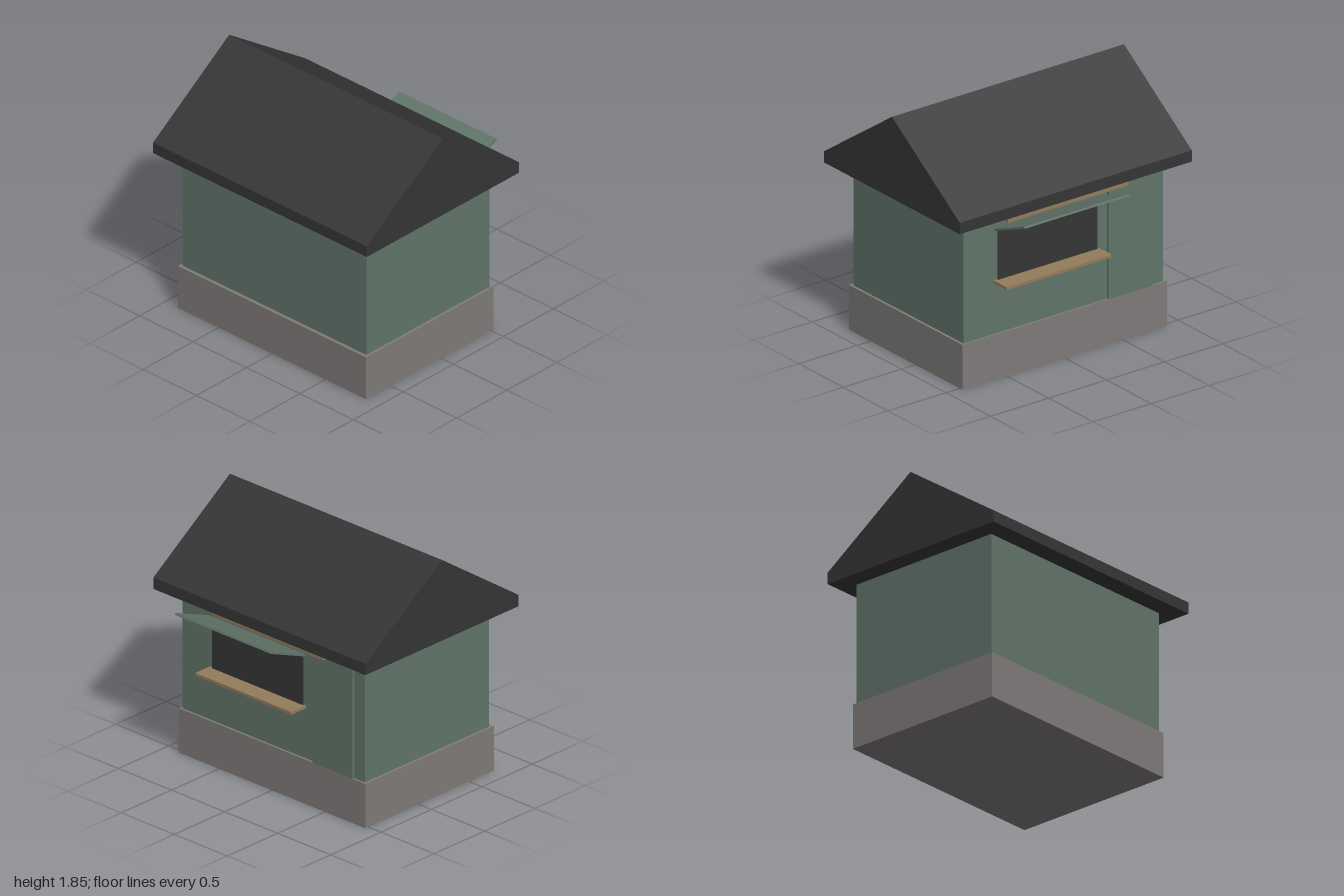
import * as THREE from 'three';

const mat = (name, color) => {
  const m = new THREE.MeshStandardMaterial({ color });
  m.name = name;
  return m;
};

export function createModel() {
  const group = new THREE.Group();
  const green = mat('sage green', 0x61756a);
  const dark = mat('charcoal', 0x363636);
  const stone = mat('stone grey', 0x7f7b79);
  const wood = mat('light wood', 0x947c5c);

  const add = (name, geometry, material) => {
    const mesh = new THREE.Mesh(geometry, material);
    mesh.name = name;
    group.add(mesh);
    return mesh;
  };
  // Box given by its limits on each axis
  const box = (name, material, [x0, x1], [y0, y1], [z0, z1]) => {
    const mesh = add(name, new THREE.BoxGeometry(x1 - x0, y1 - y0, z1 - z0), material);
    mesh.position.set((x0 + x1) / 2, (y0 + y1) / 2, (z0 + z1) / 2);
    return mesh;
  };

  box('foundation', stone, [-0.745, 0.53], [0, 0.335], [-0.88, 0.88]);
  box('walls', green, [-0.72, 0.513], [0.335, 1.24], [-0.86, 0.86]);
  box('door', green, [0.51, 0.53], [0.335, 1.24], [-0.76, -0.38]);

  // Gabled roof with upright eaves
  const gable = new THREE.Shape([
    [-0.865, 1.24], [0.655, 1.24], [0.655, 1.325], [-0.105, 1.85], [-0.865, 1.325],
  ].map(([x, y]) => new THREE.Vector2(x, y)));
  const roof = new THREE.ExtrudeGeometry(gable, { depth: 2, bevelEnabled: false });
  roof.translate(0, 0, -1);
  add('roof', roof, dark);

  // Serving hatch with counter and sign board
  box('hatchOpening', dark, [0.516, 0.525], [0.735, 1.12], [-0.285, 0.57]);
  box('counter', wood, [0.513, 0.66], [0.714, 0.736], [-0.305, 0.6]);
  box('signBoard', wood, [0.513, 0.572], [1.165, 1.24], [-0.52, 0.52]);

  // Raised hatch flap, hinged at the wall
  const length = 0.365;
  const flap = new THREE.BoxGeometry(length, 0.015, 0.907);
  flap.translate(length / 2, 0, 0);
  const hatch = add('hatchFlap', flap, green);
  hatch.position.set(0.52, 1.116, 0.147);
  hatch.rotation.z = Math.atan2(0.136, 0.34);

  return group;
}
